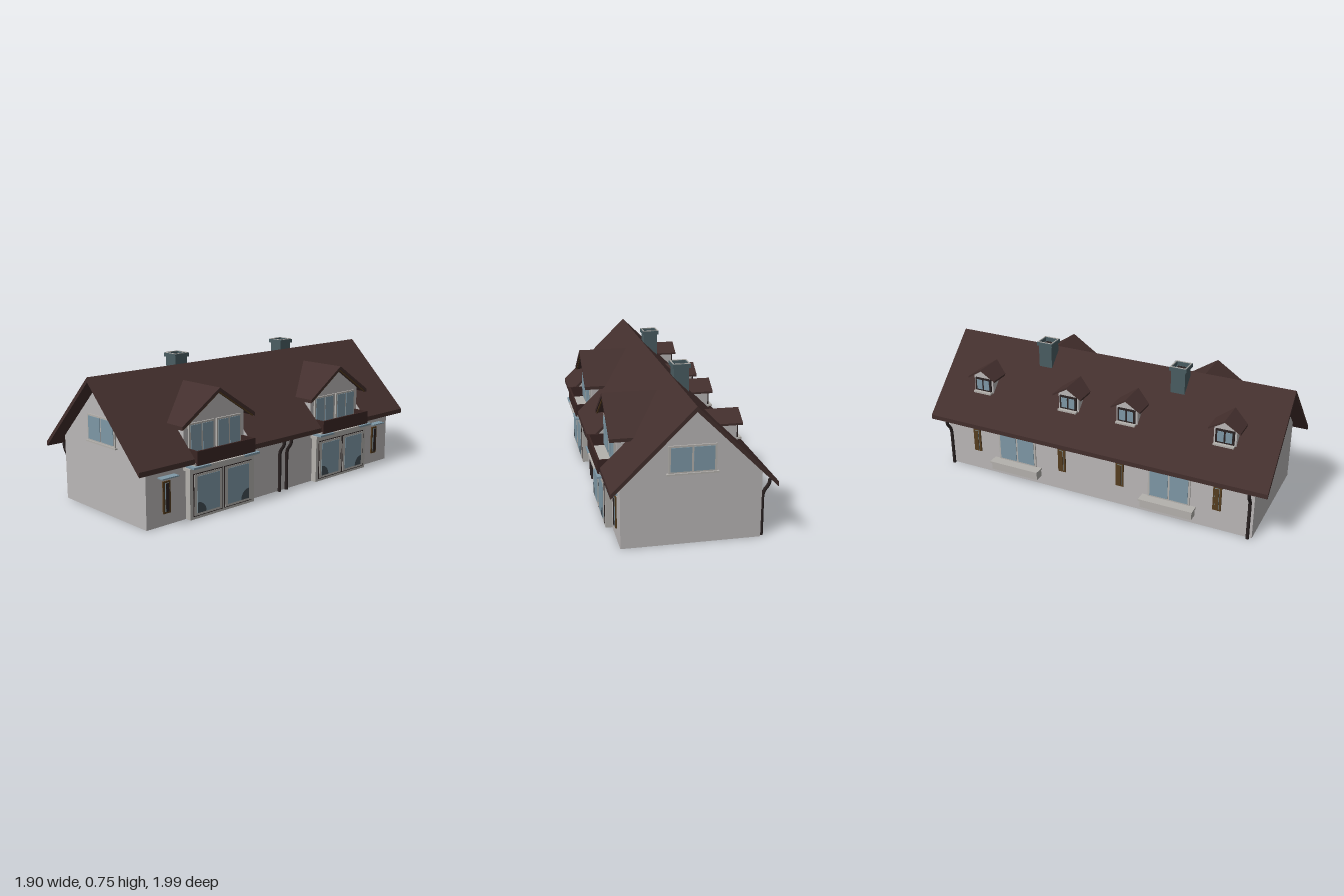
import * as THREE from 'three';

const mat = (name, color, side = THREE.FrontSide) => {
  const m = new THREE.MeshStandardMaterial({ color, side });
  m.name = name;
  return m;
};

export function createModel() {
  const D = THREE.DoubleSide;
  const M = {
    wall: mat('wall plaster', 0xbab7b7, D),
    roof: mat('roof tile', 0x432f2d, D),
    trim: mat('pale trim', 0xb4b1ad),
    glass: mat('glass', 0x7e98a6),
    dark: mat('dark metal', 0x2a2222),
    rail: mat('balcony wood', 0x3a2624),
    brown: mat('brown wood', 0x553d20),
    slate: mat('chimney slate', 0x4a5d62),
    curtain: mat('curtain', 0x424d55, D),
  };
  const house = new THREE.Group();
  house.name = 'house';

  // Main measurements: half lengths, ridge height, roof slope
  const L = 0.91, W = 0.339, RL = 0.985, RW = 0.393, RIDGE = 0.695, S = 0.98, T = 0.025;
  const BAY = 0.455;
  const roofY = z => RIDGE - S * Math.abs(z);

  const add = (parent, name, geo, m, x = 0, y = 0, z = 0, ry = 0) => {
    const mesh = new THREE.Mesh(geo, m);
    mesh.name = name;
    mesh.position.set(x, y, z);
    mesh.rotation.y = ry;
    parent.add(mesh);
    return mesh;
  };
  const box = (parent, name, m, w, h, d, x, y, z) =>
    add(parent, name, new THREE.BoxGeometry(w, h, d), m, x, y, z);
  const shape = pts => new THREE.Shape(pts.map(p => new THREE.Vector2(p[0], p[1])));
  const group = (parent, name, x, y, z, ry = 0) => {
    const g = new THREE.Group();
    g.name = name;
    g.position.set(x, y, z);
    g.rotation.y = ry;
    parent.add(g);
    return g;
  };

  // Framed window, y measured at its middle
  const windowAt = (parent, name, x, y, z, w, h, panes, ry = 0, frame = M.trim) => {
    const g = group(parent, name, x, y, z, ry);
    box(g, 'windowFrame', frame, w, h, 0.014, 0, 0, 0);
    const pw = (w - 0.012) / panes;
    for (let i = 0; i < panes; i++)
      box(g, 'windowPane', M.glass, pw - 0.01, h - 0.018, 0.02, (i - (panes - 1) / 2) * pw, 0, 0);
    return g;
  };

  // Walls, open underneath
  const wallTop = roofY(W) - T;
  const gable = new THREE.ShapeGeometry(shape([[-W, 0], [W, 0], [W, wallTop], [0, RIDGE - T], [-W, wallTop]]));
  for (const s of [-1, 1]) {
    add(house, 'gableWall', gable, M.wall, s * L, 0, 0, s * Math.PI / 2);
    windowAt(house, 'gableWindow', s * L, 0.425, 0, 0.23, 0.135, 2, s * Math.PI / 2);
    box(house, 'gableSill', M.trim, 0.015, 0.008, 0.25, s * (L + 0.006), 0.355, 0);
  }
  add(house, 'backWall', new THREE.PlaneGeometry(2 * L, wallTop), M.wall, 0, wallTop / 2, -W, Math.PI);
  add(house, 'frontWall', new THREE.PlaneGeometry(2 * L, 0.285), M.wall, 0, 0.1425, W);
  for (const [x, w] of [[0, 0.51], [-0.7825, 0.255], [0.7825, 0.255]])
    add(house, 'frontWallTop', new THREE.PlaneGeometry(w, wallTop - 0.285), M.wall, x, (wallTop + 0.285) / 2, W);

  // Roof slopes: plan outline extruded, then sheared down from the ridge
  const slope = (name, pts) => {
    const g = new THREE.ExtrudeGeometry(shape(pts.map(([x, z]) => [x, -z])), { depth: T, bevelEnabled: false });
    g.rotateX(-Math.PI / 2);
    const p = g.attributes.position;
    for (let i = 0; i < p.count; i++) p.setY(i, p.getY(i) - T + roofY(p.getZ(i)));
    g.computeVertexNormals();
    add(house, name, g, M.roof);
  };
  const notch = c => [[c - 0.2, RW], [c - 0.2, 0.3], [c + 0.2, 0.3], [c + 0.2, RW]];
  slope('frontRoof', [[-RL, 0], [-RL, RW], ...notch(-BAY), ...notch(BAY), [RL, RW], [RL, 0]]);
  slope('backRoof', [[-RL, 0], [RL, 0], [RL, -RW], [-RL, -RW]]);

  // Gabled dormer facing +z; the back of its roof runs into the main slope
  const dormer = (g, o) => {
    const k = (o.ridge - o.eave) / o.eaveHalf, t = o.t;
    const chevron = (half, drop) => shape([[-half, o.ridge - k * half], [-half, o.ridge - k * half - drop],
      [0, o.ridge - drop], [half, o.ridge - k * half - drop], [half, o.ridge - k * half], [0, o.ridge]]);
    const geo = new THREE.ExtrudeGeometry(chevron(o.eaveHalf, t), { depth: 1, bevelEnabled: false });
    const p = geo.attributes.position;
    for (let i = 0; i < p.count; i++)
      p.setZ(i, p.getZ(i) > 0.5 ? o.front : (RIDGE - p.getY(i)) / S - 0.01);
    geo.computeVertexNormals();
    add(g, 'dormerRoof', geo, M.roof);
    const top = o.ridge - k * o.half - t;
    add(g, 'dormerFront', new THREE.ShapeGeometry(shape([[-o.half, o.base], [o.half, o.base],
      [o.half, top], [0, o.ridge - t], [-o.half, top]])), M.wall, 0, 0, o.wall);
    for (const s of [-1, 1])
      add(g, 'dormerCheek', new THREE.PlaneGeometry(0.13, top - o.base), M.wall,
        s * o.half, (top + o.base) / 2, o.wall - 0.065, s * Math.PI / 2);
    if (o.trim) {
      const edge = new THREE.ExtrudeGeometry(chevron(o.eaveHalf - 0.01, 0.008), { depth: 0.006, bevelEnabled: false });
      add(g, 'dormerEdgeBoard', edge, M.brown, 0, -t, o.front - 0.012);
    }
  };

  // Front bays: large dormer, balcony and terrace door
  for (const c of [-BAY, BAY]) {
    const bay = group(house, 'frontBay', c, 0, 0);
    dormer(bay, { ridge: 0.625, eave: 0.466, eaveHalf: 0.24, half: 0.2, wall: 0.31, front: 0.352, base: 0.28, t: 0.018, trim: true });
    for (const s of [-1, 1]) {
      windowAt(bay, 'balconyWindow', s * 0.09, 0.38, 0.312, 0.165, 0.17, 2);
      add(bay, 'recessSide', new THREE.ShapeGeometry(shape([[-0.3, 0.28], [-0.385, 0.28], [-0.385, 0.3], [-0.3, 0.385]])),
        M.wall, s * 0.199, 0, 0, Math.PI / 2);
      box(bay, 'railingSide', M.rail, 0.01, 0.07, 0.09, s * 0.187, 0.312, 0.355);
      box(bay, 'canopyGlass', M.glass, 0.11, 0.01, 0.065, s * 0.165, 0.268, 0.378);
    }
    box(bay, 'balconyFloor', M.trim, 0.4, 0.012, 0.1, 0, 0.28, 0.345);
    box(bay, 'railing', M.rail, 0.385, 0.072, 0.01, 0, 0.312, 0.398);
    box(bay, 'canopyBoard', M.trim, 0.22, 0.012, 0.065, 0, 0.268, 0.378);
    box(bay, 'canopyBeam', M.trim, 0.46, 0.014, 0.05, 0, 0.256, 0.365);

    // Terrace door with low curtains in the outer corners
    box(bay, 'terraceDoorFrame', M.trim, 0.43, 0.25, 0.04, 0, 0.125, 0.352);
    for (const s of [-1, 1]) {
      box(bay, 'terraceDoorCasing', M.dark, 0.19, 0.216, 0.004, s * 0.1, 0.122, 0.373);
      box(bay, 'terraceDoorLeaf', M.trim, 0.182, 0.208, 0.006, s * 0.1, 0.122, 0.374);
      box(bay, 'terraceDoorGlass', M.glass, 0.145, 0.185, 0.006, s * 0.1, 0.122, 0.376);
      add(bay, 'curtain', new THREE.CircleGeometry(0.055, 10, s > 0 ? Math.PI / 2 : 0, Math.PI / 2),
        M.curtain, s * 0.172, 0.03, 0.38);
    }

    // Narrow side window with a small glass awning
    const out = Math.sign(c) * 0.335;
    windowAt(bay, 'narrowWindow', out, 0.14, W, 0.045, 0.16, 1, 0, M.brown);
    box(bay, 'narrowWindowPanel', M.dark, 0.018, 0.14, 0.006, out, 0.14, W + 0.01);
    box(bay, 'smallAwning', M.glass, 0.1, 0.006, 0.04, out, 0.243, W + 0.02);
  }

  // Back: small dormers and narrow windows
  for (const x of [-0.71, -0.172, 0.172, 0.71]) {
    const g = group(house, 'smallDormer', x, 0, 0, Math.PI);
    dormer(g, { ridge: 0.592, eave: 0.54, eaveHalf: 0.085, half: 0.06, wall: 0.25, front: 0.272, base: 0.42, t: 0.01 });
    windowAt(g, 'smallDormerWindow', 0, 0.496, 0.252, 0.1, 0.075, 2, 0, M.dark);
    box(g, 'smallDormerSill', M.trim, 0.11, 0.01, 0.03, 0, 0.453, 0.262);
    windowAt(house, 'narrowBackWindow', x * 1.01, 0.187, -W, 0.045, 0.14, 1, Math.PI, M.brown);
    box(house, 'narrowBackPanel', M.brown, 0.02, 0.12, 0.006, x * 1.01, 0.187, -W - 0.01);
  }
  // Back: wide windows over flower boxes
  for (const c of [-BAY, BAY]) {
    windowAt(house, 'wideBackWindow', c, 0.19, -W, 0.235, 0.175, 2, Math.PI);
    box(house, 'flowerBox', M.trim, 0.29, 0.045, 0.05, c, 0.072, -W - 0.025);
    box(house, 'flowerBoxRim', M.trim, 0.3, 0.01, 0.06, c, 0.097, -W - 0.03);
  }

  // Chimneys with hollow caps
  for (const x of [-0.39, 0.395]) {
    const g = group(house, 'chimney', x, 0, -0.058);
    box(g, 'chimneyStack', M.slate, 0.078, 0.18, 0.078, 0, 0.635, 0);
    for (const s of [-1, 1]) {
      box(g, 'chimneyRim', M.slate, 0.094, 0.02, 0.012, 0, 0.735, s * 0.041);
      box(g, 'chimneyRim', M.slate, 0.012, 0.02, 0.07, s * 0.041, 0.735, 0);
      box(g, 'chimneyRimTop', M.trim, 0.086, 0.004, 0.005, 0, 0.746, s * 0.041);
      box(g, 'chimneyRimTop', M.trim, 0.005, 0.004, 0.086, s * 0.041, 0.746, 0);
    }
    box(g, 'flue', M.dark, 0.05, 0.004, 0.05, 0, 0.726, 0);
  }

  // Downpipes bending out to the eaves
  const pipe = (x, side) => {
    const pts = [[0, 0.35], [0.1, 0.35], [0.2, 0.35], [0.225, 0.355], [0.262, 0.38], [0.29, 0.384]]
      .map(([y, z]) => new THREE.Vector3(x, y, z * side));
    add(house, 'downpipe', new THREE.TubeGeometry(new THREE.CatmullRomCurve3(pts), 20, 0.009, 8), M.dark);
  };
  pipe(-0.027, 1);
  pipe(0.027, 1);
  pipe(-0.89, -1);
  pipe(0.89, -1);

  // Inner door between the two homes
  box(house, 'innerDoor', M.brown, 0.01, 0.25, 0.14, -0.04, 0.125, 0.11);

  // The house stands turned on its plot
  house.rotation.y = 0.839;
  const model = new THREE.Group();
  model.name = 'model';
  model.add(house);
  return model;
}
